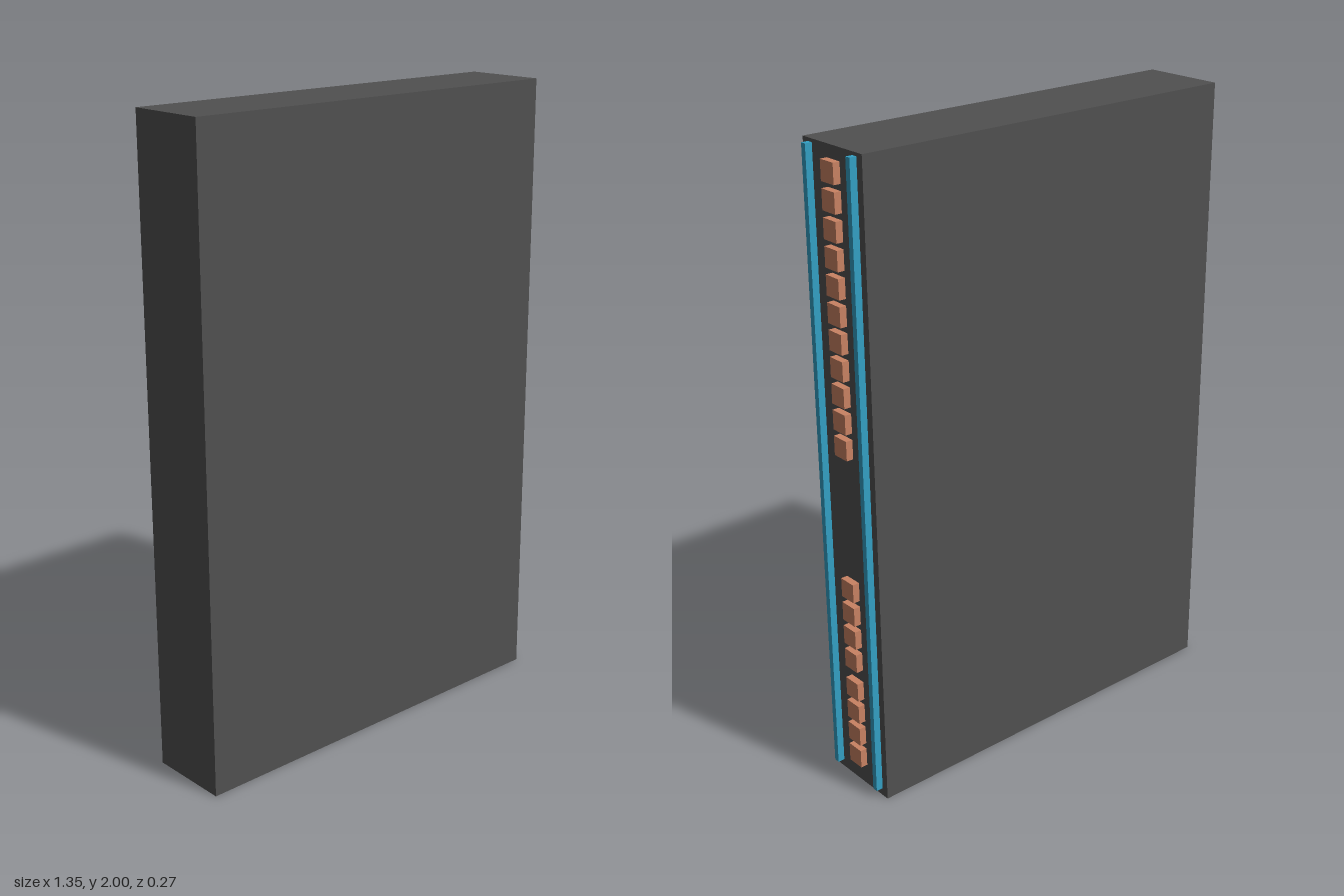
import * as THREE from 'three';

const material = (color) => new THREE.MeshStandardMaterial({ color });

// Box given by its lower and upper corners
function box(name, [x0, y0, z0], [x1, y1, z1], mat) {
  const mesh = new THREE.Mesh(new THREE.BoxGeometry(x1 - x0, y1 - y0, z1 - z0), mat);
  mesh.position.set((x0 + x1) / 2, (y0 + y1) / 2, (z0 + z1) / 2);
  mesh.name = name;
  return mesh;
}

export function createModel() {
  const model = new THREE.Group();
  model.name = 'connectorSlab';
  const grey = material(0x505050);
  const blue = material(0x33a0c4);
  const copper = material(0xc98263);
  const edge = 0.653, outer = 0.675;

  // Main slab
  model.add(box('body', [-outer, 0, -0.133], [edge, 2, 0.133], grey));

  // Two long rails along the narrow left side
  for (const z of [-0.1, 0.1]) {
    model.add(box('rail', [edge, 0.025, z - 0.009], [outer, 1.99, z + 0.009], blue));
  }

  // Square contacts between the rails: [topmost centre, count]
  const contacts = new THREE.Group();
  contacts.name = 'contacts';
  const pitch = 0.0795, half = 0.03;
  for (const [top, count] of [[1.932, 11], [0.679, 4], [0.339, 4]]) {
    for (let i = 0; i < count; i++) {
      const y = top - i * pitch;
      contacts.add(box('contact', [edge, y - half, -0.033], [outer, y + half, 0.025], copper));
    }
  }
  model.add(contacts);
  return model;
}
